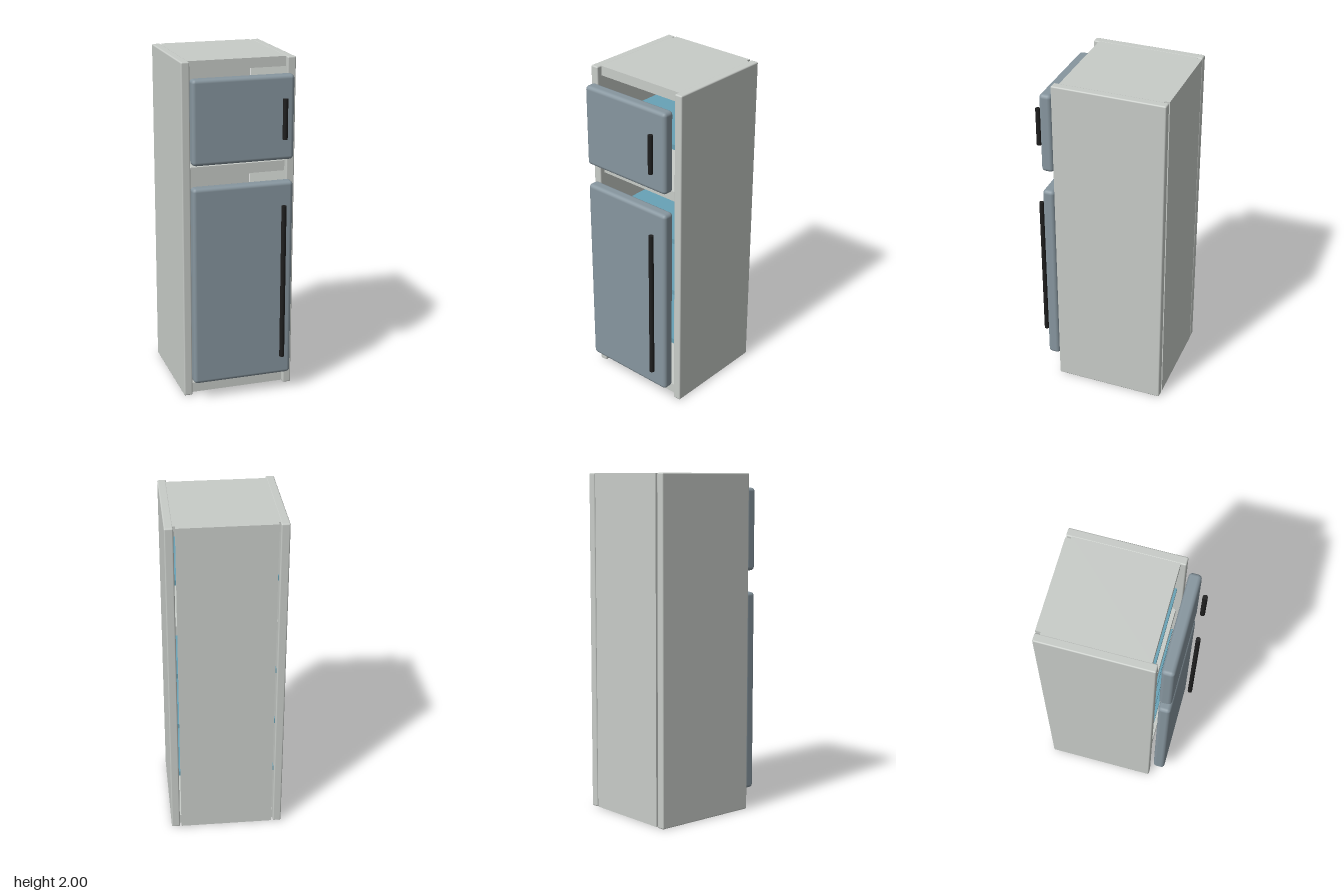
import * as THREE from 'three';
import { RoundedBoxGeometry } from 'three/addons/geometries/RoundedBoxGeometry.js';

const material = (name, color) => {
  const m = new THREE.MeshStandardMaterial({ color });
  m.name = name;
  return m;
};

export function createModel() {
  const shell = material('pale grey shell', 0xc8ccc8);
  const doorBlue = material('slate blue door', 0x87969f);
  const shelfBlue = material('blue shelf', 0x68a2b6);
  const black = material('black handle', 0x1e1e1e);

  const model = new THREE.Group();
  model.name = 'refrigerator';

  // Box given by its minimum and maximum on each axis; radius rounds the edges
  const box = (name, mat, [x0, x1], [y0, y1], [z0, z1], radius = 0) => {
    const size = [x1 - x0, y1 - y0, z1 - z0];
    const geometry = radius
      ? new RoundedBoxGeometry(...size, 2, radius)
      : new THREE.BoxGeometry(...size);
    const mesh = new THREE.Mesh(geometry, mat);
    mesh.position.set((x0 + x1) / 2, (y0 + y1) / 2, (z0 + z1) / 2);
    mesh.name = name;
    model.add(mesh);
  };

  // Cabinet sides and back, with a narrow slit between them
  box('leftSide', shell, [0.285, 0.335], [0, 2], [-0.4, 0.257], 0.008);
  box('rightSide', shell, [-0.335, -0.285], [0, 2], [-0.4, 0.257], 0.008);
  box('backPanel', shell, [-0.275, 0.275], [0.003, 1.999], [-0.4, -0.37]);

  // Floor, divider between the compartments, and top
  const decks = { floor: [0.003, 0.063], divider: [1.335, 1.395], top: [1.942, 1.999] };
  for (const [name, y] of Object.entries(decks)) {
    box(name, shell, [-0.29, 0.29], y, [-0.37, 0.225]);
  }

  // Shelves: three in the lower compartment, one in the upper
  for (const y of [0.365, 0.71, 1.055, 1.65]) {
    box('shelf', shelfBlue, [-0.285, 0.285], [y, y + 0.03], [-0.37, 0.22]);
  }

  // Doors standing off the cabinet, each with a bar handle
  const doors = [
    { name: 'lower', y: [0.11, 1.302], bar: [0.24, 1.172] },
    { name: 'upper', y: [1.43, 1.916], bar: [1.56, 1.79] },
  ];
  for (const { name, y, bar } of doors) {
    box(name + 'Door', doorBlue, [-0.298, 0.298], y, [0.275, 0.348], 0.022);
    const handle = new THREE.Mesh(
      new THREE.CylinderGeometry(0.0145, 0.0145, bar[1] - bar[0], 16), black);
    handle.position.set(0.228, (bar[0] + bar[1]) / 2, 0.386);
    handle.name = name + 'Handle';
    model.add(handle);
  }

  return model;
}
